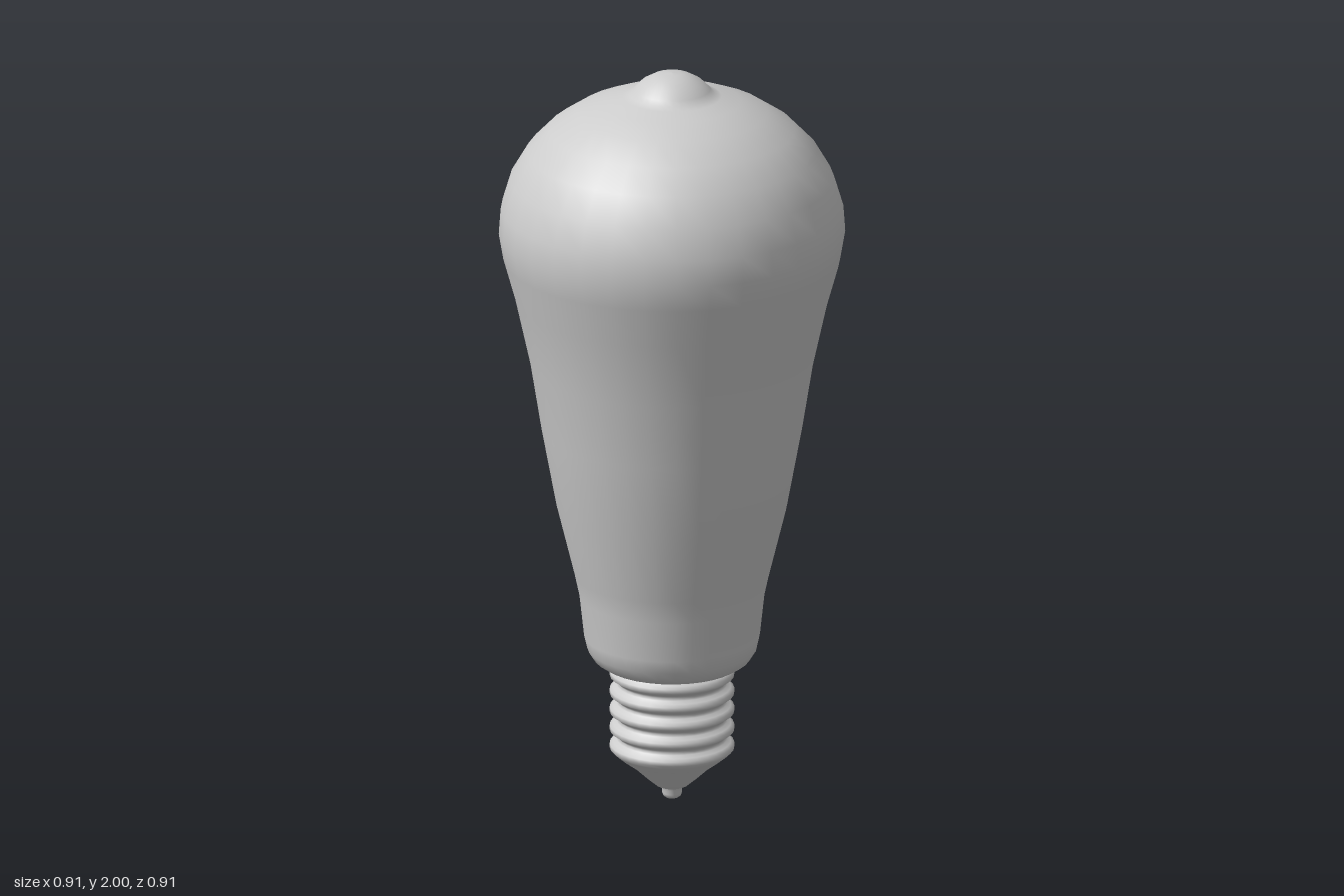
import * as THREE from 'three';

const SIDES = 32;

// Smooth lathe from [radius, height] pairs, listed bottom to top
function turned(name, profile, material) {
  const points = profile.map(([r, y]) => new THREE.Vector2(r, y));
  const mesh = new THREE.Mesh(new THREE.LatheGeometry(points, SIDES), material);
  mesh.name = name;
  return mesh;
}

export function createModel() {
  const grey = new THREE.MeshStandardMaterial({ color: 0xcccccc });
  grey.name = 'plainGrey';

  // Tapered bulb with a rounded shoulder and a sealed nub on top
  const bulb = turned('bulb', [
    [0, 0.365], [0.15, 0.365], [0.18, 0.372], [0.205, 0.388], [0.222, 0.415],
    [0.23, 0.45], [0.242, 0.56], [0.255, 0.62], [0.302, 0.81], [0.341, 1.02],
    [0.37, 1.2], [0.41, 1.38], [0.441, 1.49], [0.453, 1.56], [0.448, 1.63],
    [0.424, 1.71], [0.38, 1.785], [0.322, 1.845], [0.25, 1.893], [0.18, 1.922],
    [0.13, 1.936], [0.112, 1.943], [0.1, 1.955], [0.08, 1.975], [0.05, 1.992],
    [0.025, 1.998], [0, 2],
  ], grey);

  // Cap shell: rounded thread ridges above a flared cone
  const cap = [[0.028, 0.03], [0.042, 0.036], [0.07, 0.06], [0.1, 0.088], [0.13, 0.11], [0.152, 0.128]];
  const ridges = 5, pitch = 0.05, firstRidge = 0.145;
  for (let i = 0; i < ridges; i++) {
    const y = firstRidge + i * pitch;
    if (i > 0) cap.push([0.145, y - 0.019], [0.154, y - 0.012]);
    cap.push([0.163, y - 0.006], [0.163, y + 0.006], [0.154, y + 0.012], [0.145, y + 0.019], [0.141, y + 0.025]);
  }
  const screwCap = turned('screwCap', cap, grey);

  // Small contact stub at the foot
  const contact = turned('contactTip', [
    [0, 0], [0.016, 0.001], [0.023, 0.006], [0.026, 0.014], [0.026, 0.024], [0.03, 0.034],
  ], grey);

  const group = new THREE.Group();
  group.name = 'lightBulb';
  group.add(bulb, screwCap, contact);
  return group;
}
